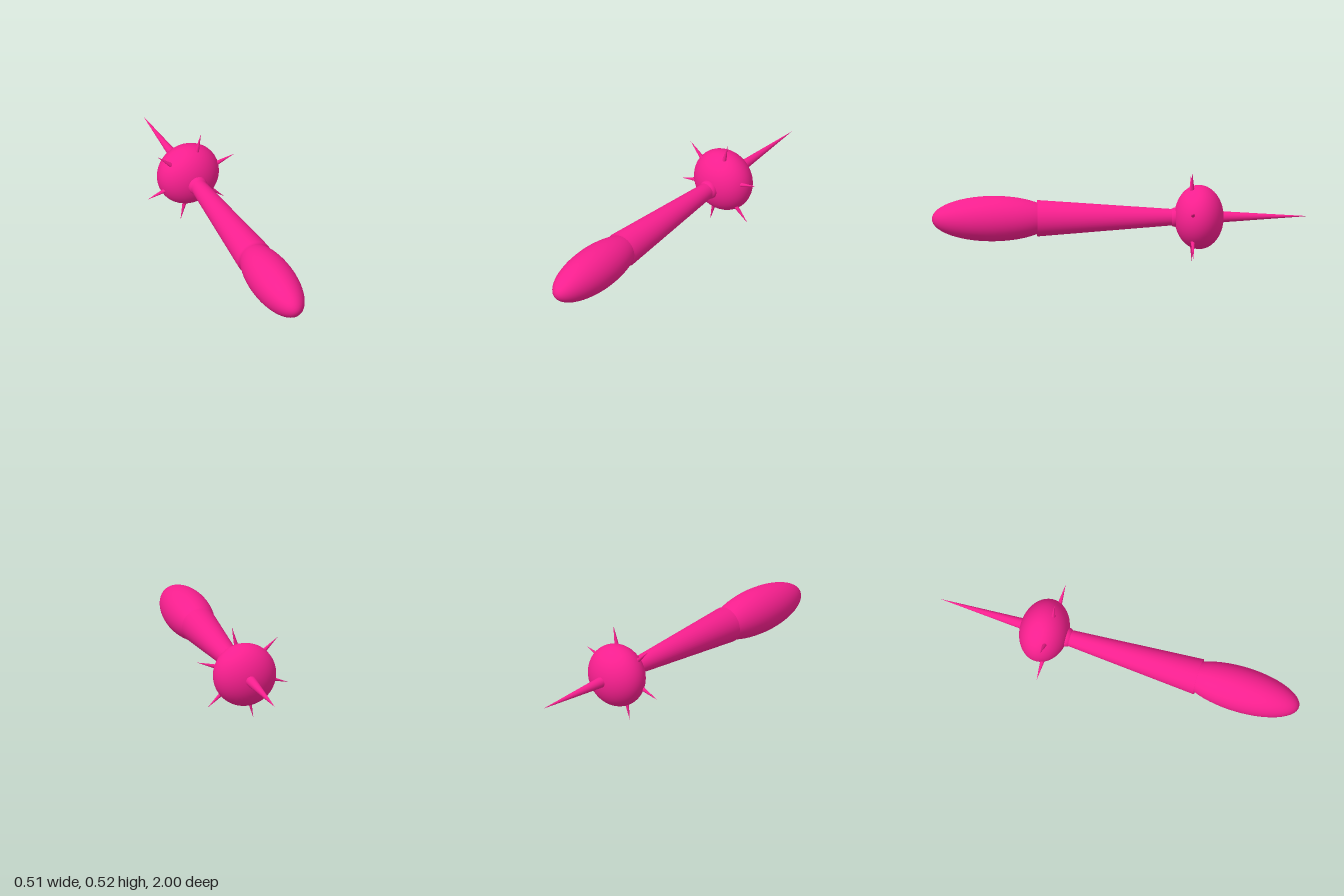
import * as THREE from 'three';

const CENTER_Y = 0.262;

export function createModel() {
  const model = new THREE.Group();
  const material = new THREE.MeshStandardMaterial({ color: 0xf81f8f });

  function add(name, geometry, parent = model) {
    const mesh = new THREE.Mesh(geometry, material);
    mesh.name = name;
    parent.add(mesh);
    return mesh;
  }

  // Ellipsoid with its poles on the z axis
  function ellipsoid(radius, halfLength, z) {
    return new THREE.SphereGeometry(1, 40, 28)
      .rotateX(Math.PI / 2)
      .scale(radius, radius, halfLength)
      .translate(0, 0, z);
  }

  // Turned profile of [radius, z] points, listed from back to front
  function turned(points) {
    const profile = points.map(([r, z]) => new THREE.Vector2(r, z));
    return new THREE.LatheGeometry(profile, 40).rotateX(Math.PI / 2);
  }

  // Rounded grip at the front end
  add('grip', ellipsoid(0.121, 0.325, 0.675));

  // Tapered shaft, wide at the grip
  add('shaft', turned([[0, -0.3], [0.042, -0.3], [0.097, 0.44], [0, 0.44]]));

  // Small rounded collar where the shaft meets the head
  add('collar', turned([
    [0.046, -0.32], [0.051, -0.305], [0.052, -0.292], [0.049, -0.28], [0.04, -0.27],
  ]));

  // Flattened ball head
  add('head', ellipsoid(0.171, 0.131, -0.42));

  // Long spike pointing backwards
  add('rearSpike', new THREE.ConeGeometry(0.032, 0.5, 24)
    .rotateX(-Math.PI / 2)
    .translate(0, 0, -0.75));

  // Ring of six short spikes around the head
  const ring = new THREE.Group();
  ring.name = 'sideSpikes';
  ring.position.z = -0.383;
  model.add(ring);
  const spike = new THREE.ConeGeometry(0.0135, 0.125, 16)
    .rotateZ(-Math.PI / 2)
    .translate(0.2025, 0, 0);
  for (let i = 0; i < 6; i++) {
    const mesh = add('sideSpike', spike, ring);
    mesh.rotation.z = THREE.MathUtils.degToRad(17 + i * 60);
  }

  model.position.y = CENTER_Y;
  const root = new THREE.Group();
  root.name = 'spikedClub';
  root.add(model);
  return root;
}
